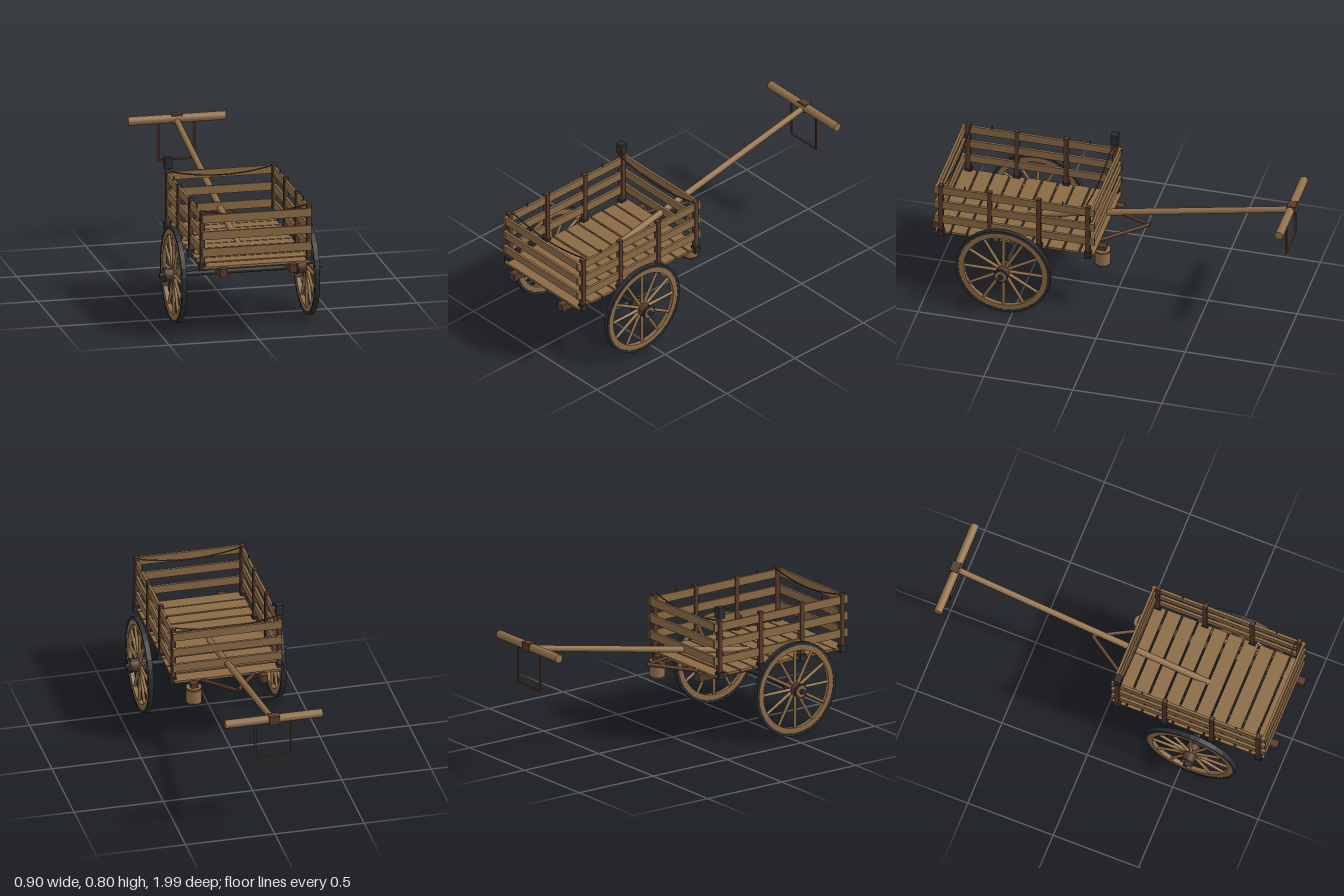
import * as THREE from 'three';

const mat = (name, color, extra = {}) => {
  const m = new THREE.MeshStandardMaterial({ color, ...extra });
  m.name = name;
  return m;
};

export function createModel() {
  const wood = mat('plank wood', 0x8a6a45);
  const pale = mat('turned wood', 0x92704a);
  const dark = mat('dark timber', 0x56392b);
  const iron = mat('iron', 0x2c2d2f);
  const cart = new THREE.Group();
  cart.name = 'handCart';

  const add = (name, geo, material, x = 0, y = 0, z = 0, parent = cart) => {
    const m = new THREE.Mesh(geo, material);
    m.name = name;
    m.position.set(x, y, z);
    parent.add(m);
    return m;
  };
  const box = (name, w, h, d, material, x, y, z, parent) =>
    add(name, new THREE.BoxGeometry(w, h, d), material, x, y, z, parent);
  // Round bar between two points
  const bar = (name, a, b, r0, r1, material, sides = 10, parent = cart) => {
    const p = new THREE.Vector3(...a), q = new THREE.Vector3(...b);
    const dir = q.clone().sub(p);
    const m = add(name, new THREE.CylinderGeometry(r1, r0, dir.length(), sides), material, 0, 0, 0, parent);
    m.position.copy(p).add(q).multiplyScalar(0.5);
    m.quaternion.setFromUnitVectors(new THREE.Vector3(0, 1, 0), dir.normalize());
    return m;
  };
  // Flat ring across the x axis
  const ring = (name, outer, inner, width, material, parent) => {
    const s = new THREE.Shape().absarc(0, 0, outer, 0, Math.PI * 2);
    s.holes.push(new THREE.Path().absarc(0, 0, inner, 0, Math.PI * 2, true));
    const g = new THREE.ExtrudeGeometry(s, { depth: width, bevelEnabled: false, curveSegments: 16 });
    g.translate(0, 0, -width / 2).rotateY(Math.PI / 2);
    return add(name, g, material, 0, 0, 0, parent);
  };

  // Deck boards on two long rails
  for (let i = 0; i < 10; i++) {
    box('deckBoard', 0.6, 0.013, 0.08, wood, 0, 0.411 + (i % 3 - 1) * 0.001, 0.102 + i * 0.0903);
  }
  for (const s of [-1, 1]) box('frameRail', 0.04, 0.044, 0.975, dark, s * 0.195, 0.387, 0.508);

  // Posts with iron shoes
  const postZ = [0.097, 0.373, 0.649, 0.922];
  for (const s of [-1, 1]) {
    for (const z of postZ) {
      box('post', 0.026, 0.31, 0.026, dark, s * 0.297, 0.57, z);
      box('postShoe', 0.037, 0.04, 0.037, iron, s * 0.3, 0.411, z);
    }
    for (const z of [0.24, 0.79]) box('peg', 0.006, 0.03, 0.006, dark, s * 0.297, 0.715, z);
  }
  box('postCap', 0.042, 0.063, 0.04, iron, -0.297, 0.769, 0.1);

  // Three slats on every side
  for (const y of [0.497, 0.592, 0.687]) {
    for (const s of [-1, 1]) {
      box('sideSlat', 0.014, 0.046, 0.9, wood, s * 0.297, y, 0.51);
      box('endSlat', 0.61, 0.046, 0.014, wood, 0, y, 0.51 + s * 0.438);
    }
  }

  // Slack cords hung inside both end panels
  for (const z of [0.112, 0.905]) {
    const curve = new THREE.QuadraticBezierCurve3(
      new THREE.Vector3(-0.285, 0.72, z), new THREE.Vector3(0, 0.65, z), new THREE.Vector3(0.285, 0.72, z));
    add('cord', new THREE.TubeGeometry(curve, 12, 0.004, 5), dark);
  }

  // Wheels: iron tyre, wooden rim, twelve spokes and a banded hub
  for (const s of [-1, 1]) {
    const wheel = new THREE.Group();
    wheel.name = s > 0 ? 'leftWheel' : 'rightWheel';
    wheel.position.set(s * 0.371, 0.268, 0.553);
    cart.add(wheel);
    ring('tyre', 0.266, 0.25, 0.028, iron, wheel);
    ring('rim', 0.251, 0.22, 0.024, wood, wheel);
    for (let i = 0; i < 12; i++) {
      const a = i * Math.PI / 6, c = Math.cos(a), n = Math.sin(a);
      bar('spoke', [0, c * 0.03, n * 0.03], [0, c * 0.23, n * 0.23], 0.01, 0.008, pale, 8, wheel);
    }
    bar('hub', [-0.058, 0, 0], [0.058, 0, 0], 0.037, 0.037, dark, 16, wheel);
    for (const x of [-0.052, 0.052]) bar('hubBand', [x - 0.006, 0, 0], [x + 0.006, 0, 0], 0.041, 0.041, iron, 16, wheel);
    bar('hubFace', [s * 0.056, 0, 0], [s * 0.06, 0, 0], 0.031, 0.031, wood, 16, wheel);
  }
  bar('axle', [-0.45, 0.268, 0.553], [0.45, 0.268, 0.553], 0.014, 0.014, iron, 12);

  // Draw pole, cross grip and rest loop
  bar('drawPole', [0, 0.397, 0.53], [0, 0.692, -0.965], 0.019, 0.017, pale, 12);
  bar('crossGrip', [-0.272, 0.701, -0.967], [0.272, 0.701, -0.967], 0.024, 0.024, pale, 10);
  box('gripClamp', 0.06, 0.05, 0.048, dark, 0, 0.703, -0.972);
  for (const s of [-1, 1]) box('restLoopSide', 0.009, 0.22, 0.009, dark, s * 0.1, 0.58, -0.965);
  box('restLoopFoot', 0.209, 0.009, 0.009, dark, 0, 0.471, -0.965);

  // Forked braces below the pole
  for (const s of [-1, 1]) {
    bar('brace', [0, 0.448, -0.17], [s * 0.185, 0.393, 0.13], 0.011, 0.011, dark, 8);
  }

  // Pail hung under the rear rail end
  add('pail', new THREE.CylinderGeometry(0.044, 0.043, 0.098, 12), pale, 0.195, 0.335, 0.041);
  add('pailHoop', new THREE.CylinderGeometry(0.0455, 0.0455, 0.007, 12), dark, 0.195, 0.375, 0.041);
  add('pailHoop', new THREE.CylinderGeometry(0.0455, 0.0455, 0.007, 12), dark, 0.195, 0.293, 0.041);

  return cart;
}
